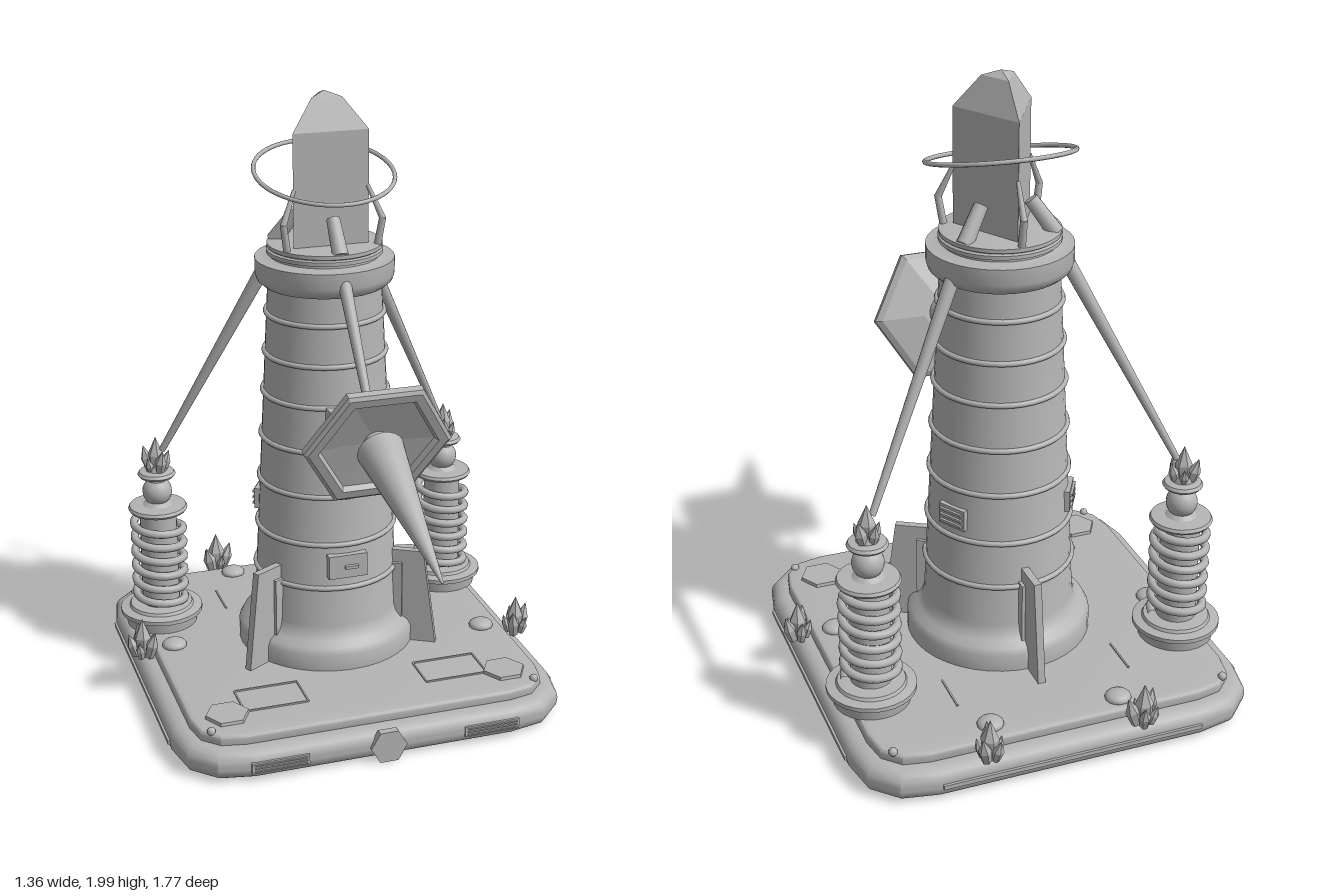
import * as THREE from 'three';
import { toCreasedNormals } from 'three/addons/utils/BufferGeometryUtils.js';

const V = (x, y, z) => new THREE.Vector3(x, y, z);
const CZ = -0.2; // depth of the tower axis

export function createModel() {
  const grey = new THREE.MeshStandardMaterial({ color: 0xb4b4b4 });
  grey.name = 'stone grey';
  const root = new THREE.Group();
  root.name = 'crystalTower';

  const add = (name, geo, x = 0, y = 0, z = 0, parent = root) => {
    const m = new THREE.Mesh(geo, grey);
    m.name = name;
    m.position.set(x, y, z);
    parent.add(m);
    return m;
  };
  const lathe = (pts, seg = 36, start = 0) => toCreasedNormals(
    new THREE.LatheGeometry(pts.map(p => new THREE.Vector2(p[0], p[1])), seg, start), 0.6);
  const flat = g => toCreasedNormals(g, 0.1);
  // tapered rod between two points
  const rod = (name, a, b, ra, rb, parent = root, seg = 12) => {
    const d = b.clone().sub(a);
    const m = add(name, new THREE.CylinderGeometry(rb, ra, d.length(), seg), 0, 0, 0, parent);
    m.position.copy(a).addScaledVector(d, 0.5);
    m.quaternion.setFromUnitVectors(V(0, 1, 0), d.normalize());
    return m;
  };
  // group turned about the tower axis; its +z points outward
  const spoke = (name, angle) => {
    const g = new THREE.Group();
    g.name = name;
    g.position.z = CZ;
    g.rotation.y = angle;
    root.add(g);
    return g;
  };

  // Square slab with rounded corners and a bevelled rim
  const slab = (name, half, corner, y0, y1, bevel) => {
    const h = half - bevel, c = h - corner, s = new THREE.Shape();
    s.moveTo(-c, -h);
    s.lineTo(c, -h); s.quadraticCurveTo(h, -h, h, -c);
    s.lineTo(h, c); s.quadraticCurveTo(h, h, c, h);
    s.lineTo(-c, h); s.quadraticCurveTo(-h, h, -h, c);
    s.lineTo(-h, -c); s.quadraticCurveTo(-h, -h, -c, -h);
    const g = new THREE.ExtrudeGeometry(s, { depth: y1 - y0 - 2 * bevel, bevelSize: bevel,
      bevelThickness: bevel, bevelSegments: 4, curveSegments: 3 });
    g.rotateX(-Math.PI / 2);
    add(name, toCreasedNormals(g, 0.5), 0, y0 + bevel, CZ);
  };
  slab('base', 0.647, 0.18, 0.01, 0.11, 0.045);
  slab('deck', 0.587, 0.14, 0.1, 0.143, 0.012);

  // Trim along the base edges
  for (const s of [-1, 1]) {
    add('sideStrip', new THREE.BoxGeometry(0.014, 0.014, 0.84), s * 0.647, 0.06, CZ);
    add('frontVent', new THREE.BoxGeometry(0.185, 0.035, 0.012), s * 0.35, 0.06, 0.446);
    for (const dy of [-0.01, 0, 0.01])
      add('ventSlat', new THREE.BoxGeometry(0.17, 0.004, 0.012), s * 0.35, 0.06 + dy, 0.45);
  }
  add('backStrip', new THREE.BoxGeometry(0.84, 0.014, 0.014), 0, 0.06, -0.848);
  add('frontBadge', flat(new THREE.CylinderGeometry(0.06, 0.06, 0.025, 6)
    .rotateY(Math.PI / 6).rotateX(Math.PI / 2)), 0, 0.06, 0.447);

  // Deck details
  for (const s of [-1, 1]) {
    add('hexPlate', flat(new THREE.CylinderGeometry(0.07, 0.072, 0.012, 6).rotateY(Math.PI / 6)), s * 0.468, 0.148, 0.253);
    for (const z of [-0.745, 0.335])
      add('bolt', new THREE.SphereGeometry(0.014, 10, 8), s * 0.54, 0.145, z);
    for (const z of [0.117, 0.25])
      add('panelEdge', new THREE.BoxGeometry(0.21, 0.006, 0.005), s * 0.305, 0.145, z);
    for (const x of [0.2, 0.41])
      add('panelEdge', new THREE.BoxGeometry(0.005, 0.006, 0.133), s * x, 0.145, 0.183);
    add('backPanelEdge', new THREE.BoxGeometry(0.005, 0.006, 0.14), s * 0.286, 0.145, -0.53);
  }
  for (const [x, z] of [[-0.19, -0.73], [0.225, -0.72], [-0.52, -0.25], [0.516, -0.065]])
    add('pebble', new THREE.SphereGeometry(0.042, 14, 10).scale(1, 0.5, 0.95), x, 0.148, z);

  // Tower body with bands
  add('tower', lathe([[0.27, 0.14], [0.296, 0.145], [0.296, 0.2], [0.285, 0.22], [0.262, 0.235],
    [0.247, 0.255], [0.24, 0.28], [0.183, 1.39]], 40), 0, 0, CZ);
  for (const y of [0.415, 0.566, 0.73, 0.88, 1.03, 1.164, 1.296])
    add('band', new THREE.TorusGeometry(0.24 - 0.0514 * (y - 0.28) + 0.002, 0.009, 8, 40)
      .rotateX(Math.PI / 2), 0, y, CZ);
  add('collar', lathe([[0.18, 1.385], [0.2, 1.39], [0.217, 1.405], [0.223, 1.425], [0.223, 1.475],
    [0.19, 1.475], [0.175, 1.48], [0.175, 1.487], [0.186, 1.49], [0.186, 1.502], [0.178, 1.506],
    [0.184, 1.51], [0.184, 1.522], [0.16, 1.525], [0, 1.525]], 40), 0, 0, CZ);

  // Front hatch
  const hatch = new THREE.BoxGeometry(0.13, 0.08, 0.03);
  add('hatch', hatch, 0, 0.495, 0.03);
  add('hatchHandle', new THREE.BoxGeometry(0.045, 0.01, 0.015), 0.01, 0.495, 0.05);

  // Three fins, and vents at the back quarters
  const fin = new THREE.Shape([[0.2, 0.14], [0.38, 0.14], [0.335, 0.475], [0.22, 0.475]]
    .map(p => new THREE.Vector2(...p)));
  for (const a of [Math.PI / 3, -Math.PI / 3, Math.PI]) {
    const g = spoke('finMount', a);
    add('fin', new THREE.ExtrudeGeometry(fin, { depth: 0.024, bevelEnabled: false })
      .translate(0, 0, -0.012).rotateY(-Math.PI / 2), 0, 0, 0, g);
    add('finRoot', new THREE.BoxGeometry(0.045, 0.29, 0.05), 0, 0.285, 0.24, g);
  }
  for (const s of [-1, 1]) {
    const g = spoke('ventMount', s * Math.PI * 2 / 3);
    add('vent', new THREE.BoxGeometry(0.1, 0.07, 0.02), 0, 0.635, 0.222, g);
    for (const dy of [-0.02, 0, 0.02])
      add('ventSlat', new THREE.BoxGeometry(0.085, 0.008, 0.012), 0, 0.635 + dy, 0.234, g);
  }

  // Main crystal: three-sided shaft with a faceted point
  const crystal = new THREE.LatheGeometry([[0, 1.52], [0.142, 1.52], [0.142, 1.885], [0.058, 1.982], [0, 2]]
    .map(p => new THREE.Vector2(...p)), 3, Math.PI);
  add('crystal', flat(crystal), 0, 0, CZ);
  // Prongs against the faces, claws at the edges
  for (let i = 0; i < 3; i++) {
    const face = spoke('prongMount', i * Math.PI * 2 / 3);
    rod('prong', V(0, 1.515, 0.165), V(0, 1.615, 0.09), 0.026, 0.022, face);
    const edge = spoke('clawMount', Math.PI + i * Math.PI * 2 / 3);
    rod('claw', V(0, 1.515, 0.17), V(0, 1.61, 0.187), 0.012, 0.011, edge);
    rod('clawTip', V(0, 1.605, 0.187), V(0, 1.71, 0.138), 0.011, 0.006, edge);
  }
  add('halo', new THREE.TorusGeometry(0.222, 0.007, 8, 56).rotateX(Math.PI / 2 + 0.25), 0, 1.745, CZ);

  // Dish with long spike, tipped forward and down
  const dish = new THREE.Group();
  dish.name = 'dish';
  dish.position.set(0, 1.03, 0.32);
  dish.rotation.x = Math.PI / 2 + 0.35;
  root.add(dish);
  add('dishPlate', flat(new THREE.LatheGeometry([[0, -0.055], [0.08, -0.055], [0.215, -0.022], [0.235, -0.008],
    [0.235, 0.014], [0.222, 0.022], [0.192, 0.022], [0.182, 0.004], [0, -0.012]]
    .map(p => new THREE.Vector2(...p)), 6, Math.PI / 6)), 0, 0, 0, dish);
  add('dishSpike', lathe([[0, -0.01], [0.04, -0.01], [0.04, 0.03], [0.074, 0.035], [0.07, 0.06],
    [0.004, 0.595], [0, 0.6]], 24), 0, 0, 0, dish);
  add('dishHub', lathe([[0, -0.09], [0.045, -0.085], [0.065, -0.05], [0.065, -0.03]], 24), 0, 0, 0, dish);

  // Dish mounting arm
  add('armBox', new THREE.BoxGeometry(0.12, 0.11, 0.1), 0, 0.98, 0.02);
  rod('armSleeve', V(0, 0.98, 0.05), V(0, 1.03, 0.165), 0.03, 0.03);
  rod('armRod', V(0, 1.02, 0.14), V(0, 1.07, 0.25), 0.018, 0.018);
  add('armBall', new THREE.SphereGeometry(0.045, 18, 12), 0, 1.07, 0.25);
  for (const s of [-1, 1])
    add('cable', new THREE.TubeGeometry(new THREE.CatmullRomCurve3([V(s * 0.045, 0.95, 0.05),
      V(s * 0.055, 0.915, 0.12), V(s * 0.05, 0.925, 0.19), V(s * 0.03, 1.0, 0.26)]), 20, 0.007, 8), 0, 0, 0);
  rod('dishStrut', V(0, 1.46, -0.01), V(0, 1.08, 0.27), 0.022, 0.012);

  // Cluster of small pointed crystals
  const shard = new THREE.LatheGeometry([[0, 0], [0.16, 0], [0.22, 0.5], [0, 1]]
    .map(p => new THREE.Vector2(...p)), 6);
  const shardGeo = flat(shard);
  const cluster = (x, y, z, h, turn) => {
    const g = new THREE.Group();
    g.name = 'crystalCluster';
    g.position.set(x, y, z);
    g.rotation.y = turn;
    root.add(g);
    add('shard', shardGeo, 0, 0, 0, g).scale.setScalar(h);
    for (let i = 0; i < 5; i++) {
      const a = i * Math.PI * 0.4, k = h * (0.5 + 0.12 * ((i * 2) % 3));
      const m = add('shard', shardGeo, Math.sin(a) * h * 0.17, 0, Math.cos(a) * h * 0.17, g);
      m.scale.setScalar(k);
      m.rotation.set(0.3 * Math.cos(a), 0, -0.3 * Math.sin(a));
    }
  };
  cluster(-0.225, 0.12, -0.84, 0.135, 0.3);
  cluster(0.27, 0.12, -0.835, 0.13, 1.1);
  cluster(-0.625, 0.12, -0.26, 0.135, 2);
  cluster(0.63, 0.12, -0.035, 0.13, 0.7);

  // Coil pylons with struts up to the collar
  const turns = 6, spring = [];
  for (let i = 0; i <= turns * 12; i++) {
    const a = i / 12 * Math.PI * 2;
    spring.push(V(0.083 * Math.cos(a), 0.225 + 0.31 * i / (turns * 12), 0.083 * Math.sin(a)));
  }
  const springGeo = new THREE.TubeGeometry(new THREE.CatmullRomCurve3(spring), 220, 0.014, 8);
  for (const s of [-1, 1]) {
    const x = s * 0.515, z = -0.46;
    add('pylonCore', lathe([[0.12, 0.14], [0.125, 0.18], [0.14, 0.183], [0.14, 0.197], [0.11, 0.202],
      [0.105, 0.212], [0.064, 0.215], [0.062, 0.555], [0.095, 0.557], [0.1, 0.565], [0.095, 0.575],
      [0.05, 0.578], [0.035, 0.59], [0.03, 0.68], [0.058, 0.68], [0.064, 0.688], [0.058, 0.698],
      [0.035, 0.702], [0.03, 0.72], [0, 0.72]], 28), x, 0, z);
    add('spring', springGeo, x, 0, z);
    add('pylonBall', new THREE.SphereGeometry(0.05, 20, 14), x, 0.625, z);
    cluster(x, 0.695, z, 0.125, s);
    rod('strut', V(s * 0.18, 1.42, -0.285), V(s * 0.495, 0.775, -0.45), 0.023, 0.011);
  }
  return root;
}
